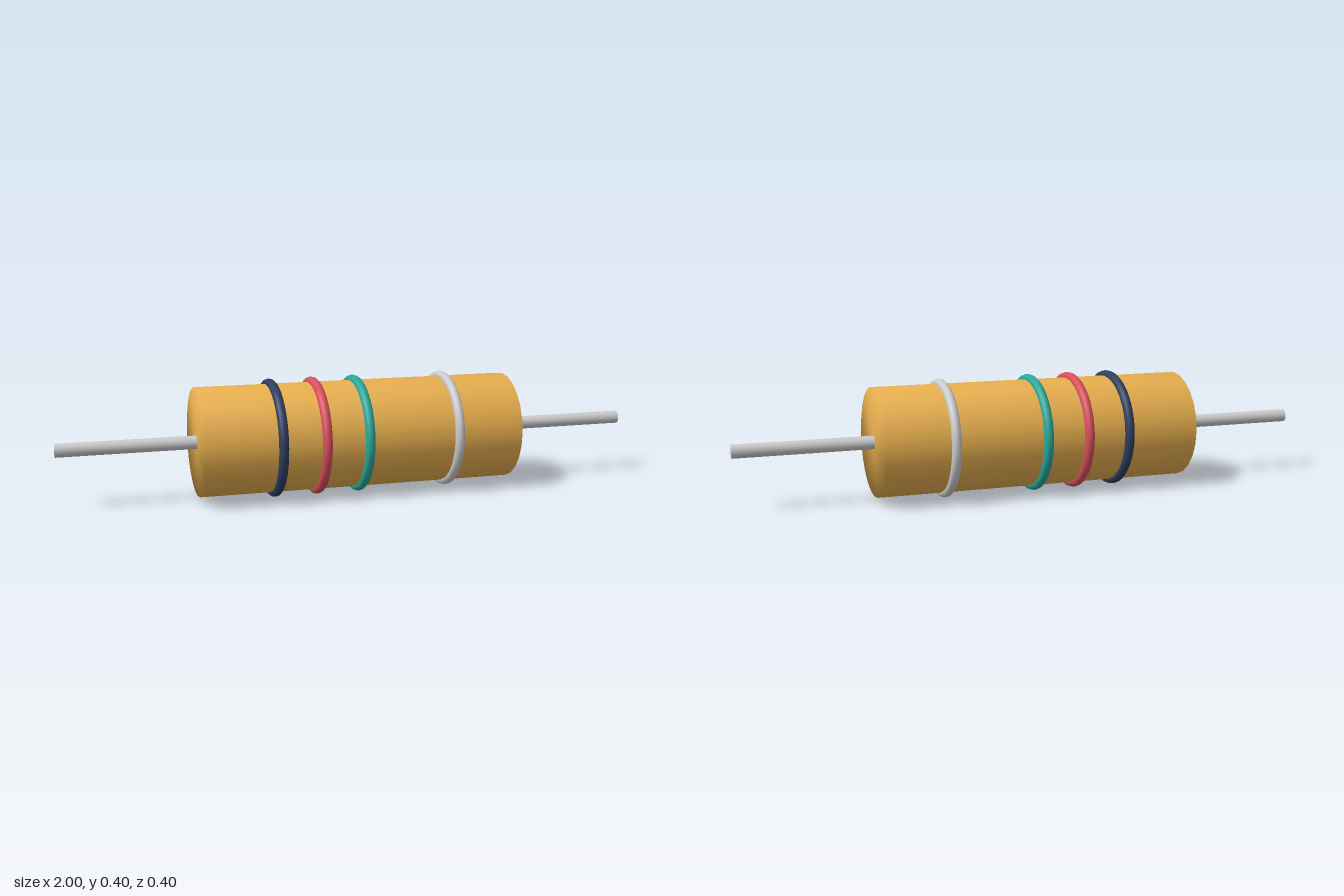
import * as THREE from 'three';
import { mergeVertices } from 'three/addons/utils/BufferGeometryUtils.js';

const AXIS_Y = 0.199;
const BODY_RADIUS = 0.182;
const BODY_HALF = 0.545;

// Cylinder along x whose caps share smooth normals with the wall
function softRod(radius, length, sides) {
  const rod = new THREE.CylinderGeometry(radius, radius, length, sides);
  rod.deleteAttribute('normal');
  rod.deleteAttribute('uv');
  const geometry = mergeVertices(rod, 1e-4);
  geometry.rotateZ(-Math.PI / 2);
  geometry.computeVertexNormals();
  return geometry;
}

export function createModel() {
  const model = new THREE.Group();
  model.name = 'resistor';

  const add = (name, geometry, color, x) => {
    const mesh = new THREE.Mesh(geometry, new THREE.MeshStandardMaterial({ color }));
    mesh.name = name;
    mesh.position.set(x, AXIS_Y, 0);
    model.add(mesh);
  };

  // Ceramic body
  add('body', softRod(BODY_RADIUS, BODY_HALF * 2, 24), 0xe9b04f, 0);

  // Wire leads, each starting just inside the body
  const leadStart = BODY_HALF - 0.02;
  const leadLength = 1 - leadStart;
  for (const [name, side] of [['leftLead', 1], ['rightLead', -1]]) {
    add(name, softRod(0.0225, leadLength, 16), 0xcccccc, side * (leadStart + leadLength / 2));
  }

  // Raised colour bands
  const ring = new THREE.TorusGeometry(BODY_RADIUS, 0.0165, 12, 64).rotateY(Math.PI / 2);
  const bands = [
    ['blueBand', -0.292, 0x2f3f5f],
    ['redBand', -0.146, 0xd94f5c],
    ['tealBand', 0, 0x2aa89c],
    ['silverBand', 0.316, 0xcccccc],
  ];
  for (const [name, x, color] of bands) add(name, ring, color, x);

  return model;
}
